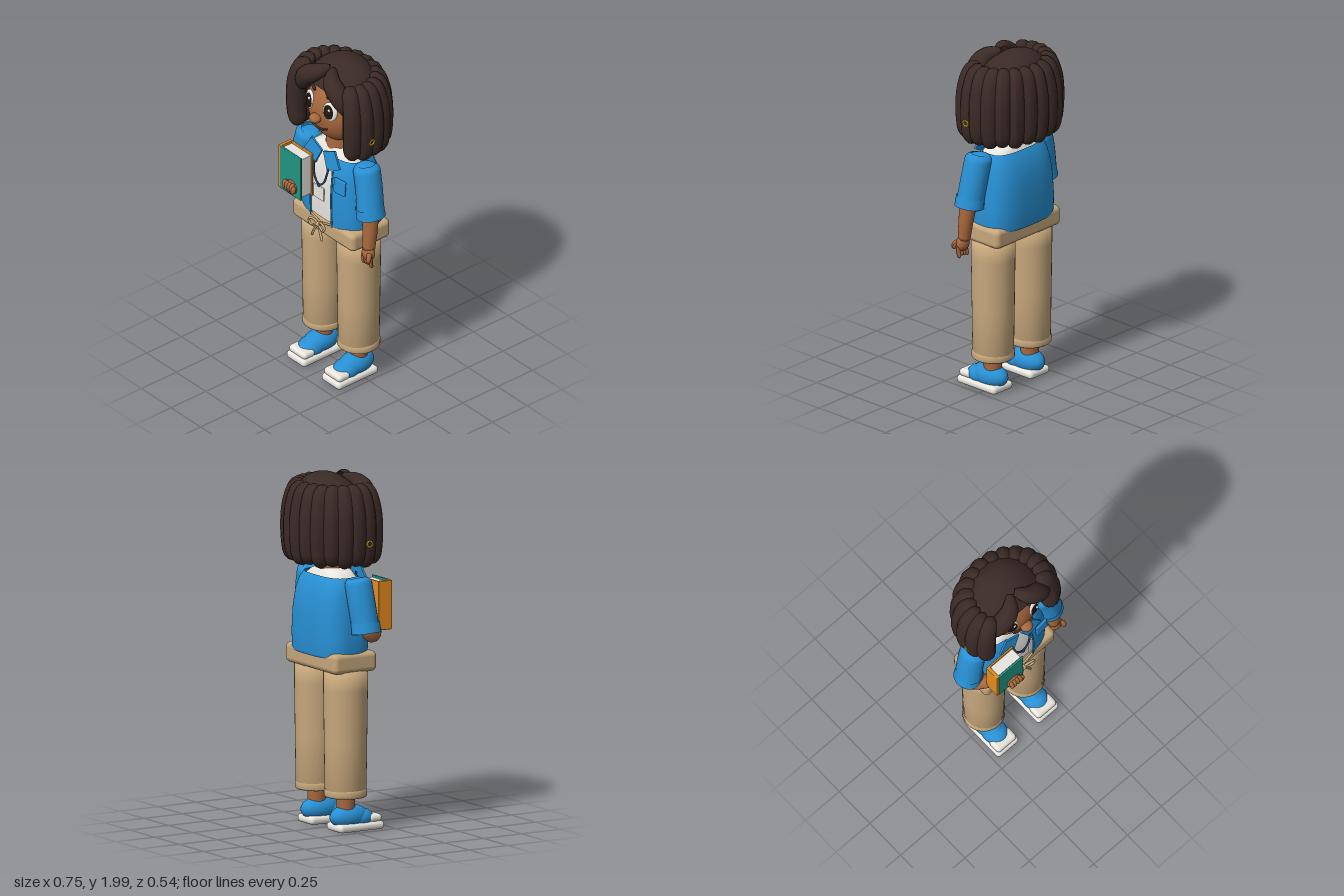
import * as THREE from 'three';
import { RoundedBoxGeometry } from 'three/addons/geometries/RoundedBoxGeometry.js';

const C = { skin: 0xa8683e, hair: 0x3a2a26, blue: 0x2890d4, khaki: 0xc6a77c, white: 0xe9e6df,
  teal: 0x1f9483, orange: 0xe48b1f, dark: 0x1c1413, navy: 0x24466e, gold: 0xe0b020, lip: 0x5a2a1c };
const mats = {};
const mat = (c) => (mats[c] ??= new THREE.MeshStandardMaterial({ color: C[c], side: THREE.DoubleSide }));
const V = (p) => new THREE.Vector3(...p);

function add(parent, name, geo, color, pos = [0, 0, 0], scale = [1, 1, 1], rot = [0, 0, 0]) {
  const m = new THREE.Mesh(geo, mat(color));
  m.name = name;
  m.position.set(...pos); m.scale.set(...scale); m.rotation.set(...rot);
  parent.add(m);
  return m;
}
const ball = (parent, name, color, pos, r, rot) =>
  add(parent, name, new THREE.SphereGeometry(1, 28, 18), color, pos, r, rot);
const box = (parent, name, color, pos, s, r = 0.004, rot) =>
  add(parent, name, new RoundedBoxGeometry(...s, 3, r), color, pos, [1, 1, 1], rot);

// Tube through points whose radius follows a rule of t
function strand(points, radius, seg = 20, sides = 12) {
  const path = new THREE.CatmullRomCurve3(points.map(V));
  const g = new THREE.TubeGeometry(path, seg, 1, sides);
  const p = g.attributes.position, v = new THREE.Vector3();
  for (let i = 0; i <= seg; i++) {
    const c = path.getPointAt(i / seg), r = radius(i / seg);
    for (let j = 0; j <= sides; j++) {
      const k = i * (sides + 1) + j;
      v.fromBufferAttribute(p, k).sub(c).multiplyScalar(r).add(c);
      p.setXYZ(k, v.x, v.y, v.z);
    }
  }
  g.computeVertexNormals();
  return g;
}
const round = (r0, r1, e = 0.12) => (t) =>
  (r0 + (r1 - r0) * t) * Math.sqrt(Math.max(0, 1 - Math.max(0, 1 - t / e, 1 - (1 - t) / e) ** 2));
const cord = (r) => () => r;

// Rounded-rectangle cross-sections [y, rx, rz, cz]; angle 0 is the front
function loft(sections, a0 = 0, a1 = Math.PI * 2, power = 3, n = 56) {
  const pos = [], idx = [];
  const f = (s) => Math.sign(s) * Math.abs(s) ** (2 / power);
  sections.forEach(([y, rx, rz, cz], i) => {
    for (let j = 0; j <= n; j++) {
      const a = a0 + (a1 - a0) * j / n, k = i * (n + 1) + j;
      pos.push(rx * f(Math.sin(a)), y, cz + rz * f(Math.cos(a)));
      if (i < sections.length - 1 && j < n) idx.push(k, k + 1, k + n + 2, k, k + n + 2, k + n + 1);
    }
  });
  const g = new THREE.BufferGeometry();
  g.setAttribute('position', new THREE.Float32BufferAttribute(pos, 3));
  g.setIndex(idx);
  g.computeVertexNormals();
  return g;
}
const lathe = (pts) => new THREE.LatheGeometry(pts.map((p) => new THREE.Vector2(...p)), 36);

function leg(root, s) {
  const g = new THREE.Group(); g.name = s > 0 ? 'leftLeg' : 'rightLeg';
  g.position.x = s * 0.148; root.add(g);
  add(g, 'trouserLeg', lathe([[0.06, 0.225], [0.112, 0.225], [0.116, 0.5], [0.12, 0.8], [0.12, 0.91], [0, 0.93]]),
    'khaki', [0, 0, -0.012], [1, 1, 1.03]);
  add(g, 'trouserCuff', lathe([[0.06, 0.215], [0.07, 0.203], [0.112, 0.203], [0.119, 0.21], [0.119, 0.238], [0.112, 0.246]]),
    'khaki', [0, 0, -0.012]);
  add(g, 'ankle', new THREE.CylinderGeometry(0.053, 0.05, 0.14, 24), 'skin', [0, 0.18, -0.01]);
  box(g, 'sole', 'white', [0, 0.033, 0.052], [0.158, 0.046, 0.29], 0.021);
  ball(g, 'shoeUpper', 'blue', [0, 0.088, 0.01], [0.072, 0.068, 0.118]);
  ball(g, 'shoeVamp', 'blue', [0, 0.075, 0.075], [0.07, 0.055, 0.085]);
  box(g, 'toeCap', 'white', [0, 0.073, 0.145], [0.142, 0.045, 0.085], 0.022);
  box(g, 'shoeTongue', 'blue', [0, 0.128, 0.072], [0.06, 0.014, 0.06], 0.006, [0.5, 0, 0]);
}

function sleeve(root, s) {
  const g = new THREE.Group(); g.name = s > 0 ? 'leftSleeve' : 'rightSleeve'; root.add(g);
  add(g, 'upperSleeve', strand([[s * 0.235, 1.43, 0.01], [s * 0.265, 1.31, 0.015], [s * 0.298, 1.13, 0.028]],
    (t) => t < 0.08 ? 0.05 + 0.026 * Math.sqrt(t / 0.08) : 0.076, 20, 24), 'blue');
  add(g, 'sleeveCap', new THREE.SphereGeometry(1, 24, 12), 'blue', [s * 0.236, 1.4, 0.01], [0.066, 0.036, 0.07]);
  add(g, 'sleeveCuff', new THREE.CylinderGeometry(0.077, 0.08, 0.06, 28, 1, true), 'blue',
    [s * 0.293, 1.16, 0.028], [1, 1, 1.04], [0, 0, s * 0.18]);
  add(g, 'sleeveEnd', new THREE.CylinderGeometry(0.075, 0.075, 0.01, 28), 'blue',
    [s * 0.29, 1.145, 0.028], [1, 1, 1], [0, 0, s * 0.18]);
}

function hair(head) {
  const g = new THREE.Group(); g.name = 'hair'; head.add(g);
  add(g, 'crown', new THREE.SphereGeometry(1, 40, 20, 0, Math.PI * 2, 0, Math.PI * 0.42), 'hair',
    [0, 1.73, 0], [0.25, 0.28, 0.19], [-0.42, 0, 0]);
  add(g, 'backHair', new THREE.SphereGeometry(1, 40, 20, Math.PI, Math.PI, 0, Math.PI * 0.72), 'hair',
    [0, 1.73, 0.02], [0.235, 0.25, 0.22]);
  // Ring of hanging locks, open at the face
  for (let i = -7; i <= 7; i++) {
    const a = i * 0.295, x = Math.sin(a), z = -Math.cos(a), b = 1.485 + 0.012 * (Math.abs(i) % 2);
    const at = (k, y) => [x * 0.268 * k, y, z * 0.217 * k + 0.004];
    add(g, 'lock', strand([at(0.66, 1.925), at(0.85, 1.905), at(0.98, 1.82), at(1.02, 1.68), at(0.99, 1.56), at(0.93, b)],
      (t) => round(0.046, 0.05, 0.16)(t) * (1 + 0.16 * Math.sin(Math.PI * t)), 26, 12), 'hair');
  }
  for (const s of [-1, 1]) {
    add(g, 'fringe', strand([[s * 0.012, 1.965, 0.055], [s * 0.07, 1.93, 0.115], [s * 0.14, 1.875, 0.125], [s * 0.2, 1.76, 0.105]],
      (t) => 0.056 * Math.sin(Math.PI * (0.06 + 0.9 * t)) ** 0.7, 24, 14), 'hair');
    add(g, 'earring', new THREE.TorusGeometry(0.016, 0.005, 8, 20), 'gold', [s * 0.318, 1.63, 0.037], [1, 1, 1], [0, Math.PI / 2, 0]);
  }
}

function head(root) {
  const g = new THREE.Group(); g.name = 'head'; root.add(g);
  add(g, 'neck', new THREE.CylinderGeometry(0.075, 0.08, 0.16, 28), 'skin', [0, 1.5, -0.005]);
  ball(g, 'face', 'skin', [0, 1.71, 0], [0.192, 0.212, 0.165]);
  ball(g, 'nose', 'skin', [0, 1.688, 0.175], [0.036, 0.027, 0.034]);
  add(g, 'mouth', strand([[-0.075, 1.64, 0.146], [-0.04, 1.622, 0.152], [0, 1.616, 0.153], [0.04, 1.622, 0.152], [0.075, 1.64, 0.146]],
    round(0.006, 0.006)), 'lip');
  for (const s of [-1, 1]) {
    const rot = [-0.1, s * 0.3, 0];
    ball(g, 'eyeWhite', 'white', [s * 0.085, 1.757, 0.139], [0.046, 0.057, 0.016], rot);
    ball(g, 'iris', 'dark', [s * 0.083, 1.756, 0.148], [0.034, 0.045, 0.012], rot);
    ball(g, 'eyeGlint', 'white', [s * 0.083 + 0.012, 1.775, 0.157], [0.009, 0.01, 0.006]);
    add(g, 'eyebrow', strand([[s * 0.048, 1.828, 0.134], [s * 0.085, 1.842, 0.122], [s * 0.12, 1.83, 0.114]], round(0.011, 0.006, 0.3)), 'hair');
  }
  hair(g);
}

function torso(root) {
  const g = new THREE.Group(); g.name = 'torso'; root.add(g);
  add(g, 'shirt', loft([[0.98, 0.225, 0.13, -0.01], [1.2, 0.215, 0.14, -0.013], [1.34, 0.2, 0.122, -0.012],
    [1.41, 0.18, 0.098, -0.01], [1.445, 0.13, 0.082, -0.007], [1.465, 0.075, 0.07, -0.005]]), 'white');
  add(g, 'jacket', loft([[0.985, 0.238, 0.146, -0.02], [1.0, 0.247, 0.153, -0.02], [1.1, 0.246, 0.156, -0.02],
    [1.22, 0.238, 0.154, -0.019], [1.32, 0.226, 0.142, -0.018], [1.39, 0.212, 0.121, -0.014], [1.425, 0.19, 0.1, -0.012]],
  0.21, Math.PI * 2 - 0.21), 'blue');
  box(g, 'waistband', 'khaki', [0.003, 0.96, -0.01], [0.52, 0.115, 0.28], 0.03);
  box(g, 'pocket', 'blue', [0.153, 1.29, 0.128], [0.084, 0.09, 0.016], 0.006, [-0.08, 0.1, 0]);
  for (const s of [-1, 1]) {
    const flap = new THREE.Shape([[0, 0.1], [0.09, 0.14], [0.145, 0.05], [0.045, 0]].map(([x, y]) => new THREE.Vector2(s * x, y)));
    add(g, 'collarFlap', new THREE.ExtrudeGeometry(flap, { depth: 0.012, bevelEnabled: false }), 'blue',
      [s * 0.006, 1.35, 0.124], [1, 1, 1], [-0.12, 0, 0]);
    add(g, 'jacketEdge', strand([[s * 0.088, 0.995, 0.131], [s * 0.087, 1.2, 0.135], [s * 0.08, 1.35, 0.118]], cord(0.005)), 'blue');
  }
  // Lanyard and card
  add(g, 'lanyard', strand([[-0.06, 1.43, 0.112], [-0.056, 1.33, 0.138], [-0.035, 1.265, 0.145], [0, 1.24, 0.148],
    [0.035, 1.265, 0.145], [0.056, 1.33, 0.138], [0.06, 1.43, 0.112]], cord(0.006), 40, 8), 'navy');
  ball(g, 'clip', 'navy', [0, 1.235, 0.15], [0.01, 0.012, 0.008]);
  box(g, 'card', 'white', [-0.002, 1.188, 0.147], [0.088, 0.085, 0.01], 0.004);
  // Drawstring bow
  ball(g, 'bowKnot', 'khaki', [0, 0.982, 0.152], [0.016, 0.014, 0.015]);
  for (const s of [-1, 1]) {
    add(g, 'bowLoop', strand([[0, 0.982, 0.15], [s * 0.035, 1.004, 0.16], [s * 0.066, 0.99, 0.165], [s * 0.05, 0.963, 0.165], [0, 0.98, 0.152]], cord(0.007)), 'khaki');
    add(g, 'bowTail', strand([[0, 0.98, 0.152], [s * 0.022, 0.945, 0.16], [s * 0.045, 0.892, 0.163]], round(0.007, 0.008)), 'khaki');
    add(g, 'waistCord', strand([[0, 0.985, 0.136], [s * 0.06, 1.0, 0.133], [s * 0.1, 1.005, 0.126]], cord(0.006)), 'khaki');
  }
}

function leftHand(root) {
  const g = new THREE.Group(); g.name = 'leftHand'; root.add(g);
  add(g, 'forearm', strand([[0.295, 1.18, 0.03], [0.308, 1.05, 0.042], [0.312, 0.92, 0.055]], round(0.05, 0.034, 0.05), 16, 20), 'skin');
  ball(g, 'palm', 'skin', [0.315, 0.912, 0.06], [0.042, 0.047, 0.033]);
  for (let i = 0; i < 4; i++) {
    const x = 0.281 + i * 0.021;
    add(g, 'finger', strand([[x, 0.905, 0.065], [x, 0.865, 0.068], [x - 0.002, 0.826 + 0.005 * (i % 3), 0.058]], round(0.0135, 0.011, 0.2), 12, 10), 'skin');
  }
  add(g, 'thumb', strand([[0.335, 0.925, 0.07], [0.352, 0.905, 0.088], [0.35, 0.875, 0.094]], round(0.016, 0.013, 0.25), 12, 10), 'skin');
}

function rightHandAndBook(root) {
  const g = new THREE.Group(); g.name = 'rightHand'; root.add(g);
  add(g, 'forearm', strand([[-0.298, 1.17, 0.03], [-0.305, 1.125, 0.055], [-0.25, 1.125, 0.11], [-0.19, 1.14, 0.15]], round(0.05, 0.034, 0.1), 20, 18), 'skin');
  ball(g, 'palm', 'skin', [-0.143, 1.185, 0.226], [0.046, 0.042, 0.026]);
  for (let i = 0; i < 4; i++) {
    const x = -0.174 + i * 0.02;
    add(g, 'finger', strand([[x, 1.222, 0.232], [x, 1.205, 0.25], [x + 0.002, 1.17, 0.248]], round(0.0125, 0.012, 0.25), 12, 10), 'skin');
  }
  add(g, 'thumb', strand([[-0.12, 1.165, 0.235], [-0.102, 1.185, 0.248], [-0.1, 1.215, 0.245]], round(0.015, 0.014, 0.25), 12, 10), 'skin');
  const b = new THREE.Group(); b.name = 'book'; root.add(b);
  box(b, 'pages', 'white', [-0.156, 1.265, 0.176], [0.164, 0.25, 0.07], 0.004);
  box(b, 'frontCover', 'teal', [-0.155, 1.265, 0.217], [0.178, 0.275, 0.013]);
  box(b, 'backCover', 'orange', [-0.155, 1.265, 0.137], [0.178, 0.275, 0.01]);
  box(b, 'spine', 'orange', [-0.249, 1.265, 0.176], [0.02, 0.275, 0.088]);
}

export function createModel() {
  const root = new THREE.Group();
  root.name = 'studentFigure';
  for (const s of [-1, 1]) { leg(root, s); sleeve(root, s); }
  torso(root);
  head(root);
  leftHand(root);
  rightHandAndBook(root);
  return root;
}
